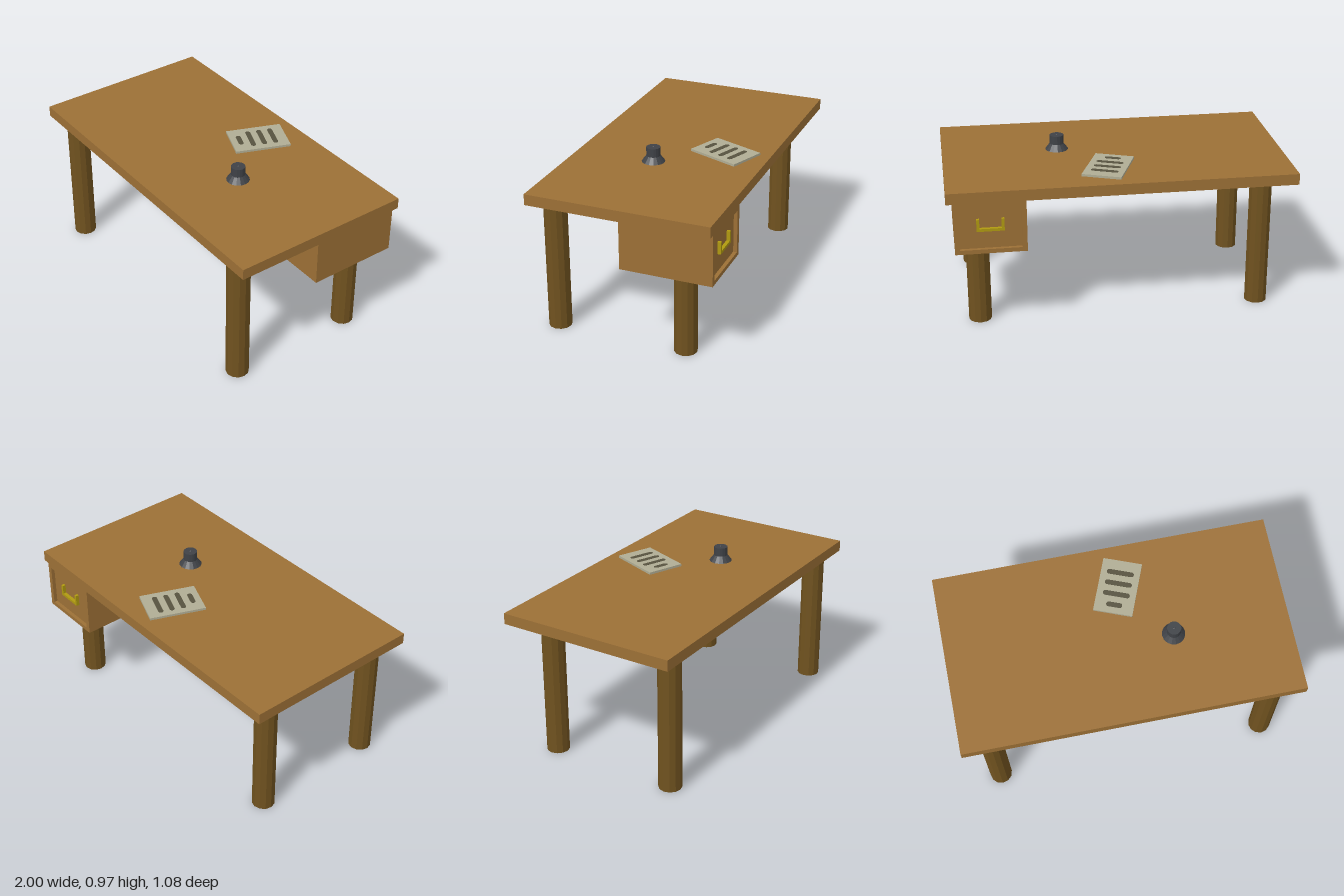
import * as THREE from 'three';

const material = (name, color, extra = {}) => {
  const m = new THREE.MeshStandardMaterial({ color, ...extra });
  m.name = name;
  return m;
};

export function createModel() {
  const wood = material('wood', 0x9c7036);
  const legWood = material('dark wood', 0x70521f, { flatShading: true });
  const paperMat = material('paper', 0xb0ad94);
  const inkMat = material('ink', 0x57523f);
  const iron = material('dark grey', 0x3f4247, { flatShading: true });
  const brass = material('brass', 0xb09a10);

  const model = new THREE.Group();
  model.name = 'desk';

  const add = (name, geometry, mat, x = 0, y = 0, z = 0, parent = model) => {
    const mesh = new THREE.Mesh(geometry, mat);
    mesh.name = name;
    mesh.position.set(x, y, z);
    parent.add(mesh);
    return mesh;
  };
  const polygon = (Type, pts) => new Type(pts.map(([x, y]) => new THREE.Vector2(x, y)));
  const extrude = (shape, depth) =>
    new THREE.ExtrudeGeometry(shape, { depth, bevelEnabled: false, curveSegments: 4 });

  // Table top
  const under = 0.816, top = 0.881;
  add('tableTop', new THREE.BoxGeometry(2, top - under, 1.084), wood, 0, (top + under) / 2, 0);

  // Four round legs, the rear pair set further in
  const legGeometry = new THREE.CylinderGeometry(0.067, 0.067, under, 12);
  for (const x of [-0.83, 0.83]) {
    add('frontLeg', legGeometry, legWood, x, under / 2, 0.443);
    add('rearLeg', legGeometry, legWood, x, under / 2, -0.338);
  }

  // Drawer cabinet, opening to the rear
  const cabinet = new THREE.Group();
  cabinet.name = 'drawerCabinet';
  cabinet.position.set(0.758, 0.663, 0);
  model.add(cabinet);
  const w = 0.203, h = 0.153, recess = 0.022, back = -0.542;
  const depth = -back - recess;
  add('cabinetBody', new THREE.BoxGeometry(2 * w, 2 * h, depth), wood, 0, 0, -depth / 2, cabinet);

  // Raised frame around the recessed drawer front
  const rect = (a, b) => [[-a, -b], [a, -b], [a, b], [-a, b]];
  const frame = polygon(THREE.Shape, rect(w, h));
  frame.holes.push(polygon(THREE.Path, rect(w - 0.028, h - 0.025)));
  add('drawerFrame', extrude(frame, recess), wood, 0, 0, back, cabinet);

  // U-shaped pull
  const pull = polygon(THREE.Shape, [
    [-0.078, -0.02], [0.078, -0.02], [0.078, 0.052], [0.062, 0.052],
    [0.062, -0.004], [-0.062, -0.004], [-0.062, 0.052], [-0.078, 0.052],
  ]);
  add('drawerHandle', extrude(pull, 0.02), brass, 0, 0, back + 0.002, cabinet);

  // Sheet of paper with four written lines
  const paper = new THREE.Group();
  paper.name = 'paper';
  paper.position.set(0.06, top, -0.278);
  paper.rotation.y = -0.377;
  model.add(paper);
  add('sheet', new THREE.BoxGeometry(0.231, 0.014, 0.334), paperMat, 0, 0.007, 0, paper);
  const r = 0.015;
  [0.16, 0.16, 0.16, 0.095].forEach((length, i) => {
    const half = length / 2 - r;
    const shape = new THREE.Shape();
    shape.absarc(half, 0, r, -Math.PI / 2, Math.PI / 2);
    shape.absarc(-half, 0, r, Math.PI / 2, Math.PI * 1.5);
    const line = add('writtenLine', extrude(shape, 0.001), inkMat, 0, 0.014, -0.089 + 0.068 * i, paper);
    line.rotation.x = -Math.PI / 2;
  });

  // Inkwell: flared base, straight neck and a tiny tip
  const profile = [[0, 0], [0.068, 0], [0.041, 0.036], [0.041, 0.088], [0.006, 0.088], [0, 0.093]];
  add('inkwell', new THREE.LatheGeometry(profile.map(([x, y]) => new THREE.Vector2(x, y)), 16),
    iron, 0.32, top, 0.067);

  return model;
}
